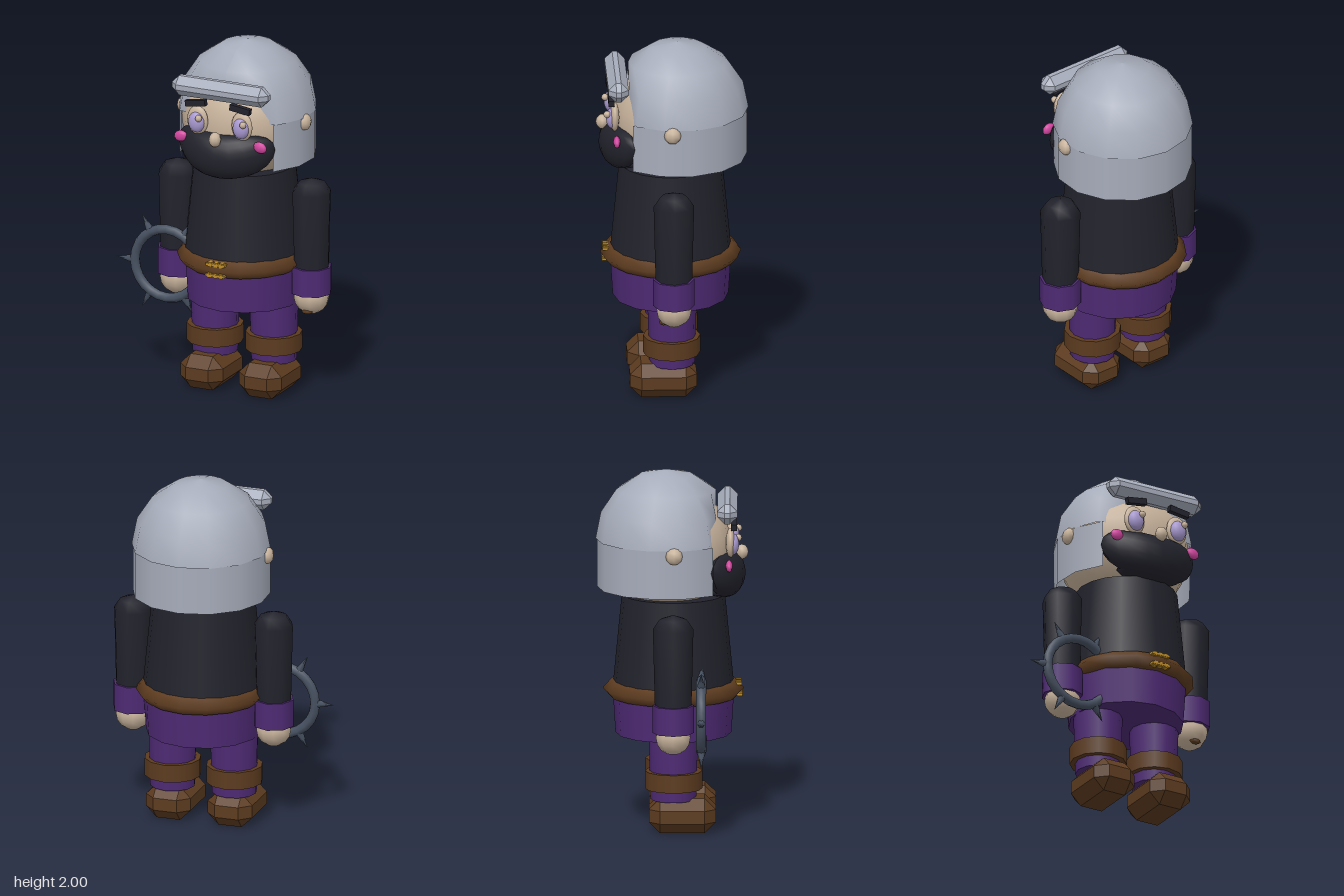
import * as THREE from 'three';
import { ConvexGeometry } from 'three/addons/geometries/ConvexGeometry.js';

const mat = (name, color, opts = {}) => {
  const m = new THREE.MeshStandardMaterial({ color, ...opts });
  m.name = name;
  return m;
};

export function createModel() {
  const steel = mat('steel', 0xa6acba, { side: THREE.DoubleSide });
  const black = mat('black', 0x22222c);
  const purple = mat('purple', 0x4e2a74);
  const brown = mat('brown', 0x5c3b1f);
  const skin = mat('skin', 0xc8b39c);
  const lavender = mat('lavender', 0xa99ad2);
  const pink = mat('pink', 0xd2459f);
  const gold = mat('gold', 0xbd8c26);
  const iron = mat('iron', 0x465060);

  const root = new THREE.Group();
  root.name = 'helmetedFigure';
  const CX = 0.09; // the body stands off centre because of the ring

  const add = (name, geometry, material, x = CX, y = 0, z = 0) => {
    const mesh = new THREE.Mesh(geometry, material);
    mesh.name = name;
    mesh.position.set(x, y, z);
    root.add(mesh);
    return mesh;
  };
  const tube = (rTop, rBottom, h, sides) => new THREE.CylinderGeometry(rTop, rBottom, h, sides);
  const ball = (rx, ry, rz, w = 12, h = 8) => new THREE.SphereGeometry(1, w, h).scale(rx, ry, rz);
  const lathe = (points, sides) =>
    new THREE.LatheGeometry(points.map(([r, y]) => new THREE.Vector2(r, y)), sides);

  // Box with every edge and corner cut by c, flat faced
  const chamferBox = (hx, hy, hz, c) => {
    const pts = [];
    for (const a of [-1, 1]) for (const b of [-1, 1]) for (const d of [-1, 1]) {
      pts.push(new THREE.Vector3(a * hx, b * (hy - c), d * (hz - c)));
      pts.push(new THREE.Vector3(a * (hx - c), b * hy, d * (hz - c)));
      pts.push(new THREE.Vector3(a * (hx - c), b * (hy - c), d * hz));
    }
    return new ConvexGeometry(pts);
  };

  // Torso, belt and hips
  add('torso', tube(0.285, 0.335, 0.52, 20), black, CX, 1.04, 0.01);
  add('hips', tube(0.335, 0.32, 0.24, 14), purple, CX, 0.64, 0.01);
  add('belt', lathe([[0.3, 0.715], [0.35, 0.725], [0.39, 0.77], [0.35, 0.815], [0.3, 0.825]], 16)
    .scale(0.955, 1, 1), brown, CX, 0, 0.01);
  for (const [y, z] of [[0.803, 0.37], [0.742, 0.375]]) {
    add('buckleBar', new THREE.BoxGeometry(0.115, 0.014, 0.035), gold, CX, y, z);
    for (const dx of [-0.035, 0, 0.035])
      add('buckleTooth', new THREE.BoxGeometry(0.022, 0.026, 0.03), gold, CX + dx, y, z);
  }

  // Legs, cuffs and shoes
  for (const x of [-0.09, 0.27]) {
    add('leg', tube(0.137, 0.126, 0.4, 12), purple, x, 0.38, 0.01);
    add('bootCuff', tube(0.158, 0.158, 0.1, 12), brown, x, 0.29, 0.012);
    add('shoe', chamferBox(0.13, 0.0975, 0.185, 0.062), brown, x, 0.0975, 0.06);
  }

  // Arms with sleeve cuffs and hands
  for (const s of [-1, 1]) {
    const x = CX + s * 0.41;
    add('arm', lathe([[0.1, 0.7], [0.112, 1.18], [0.075, 1.235], [0, 1.26]], 8), black, x, 0, 0.01);
    add('sleeveCuff', tube(0.115, 0.115, 0.155, 8), purple, x, 0.675, 0.01);
    add('hand', ball(0.1, 0.1, 0.1, 10, 8), skin, x, 0.575, 0.01);
  }
  add('palmStud', ball(0.035, 0.014, 0.025, 6, 4), brown, 0.5, 0.5, 0.068);

  // Spiked ring held in the right hand
  add('ring', new THREE.TorusGeometry(0.198, 0.028, 8, 24), iron, -0.31, 0.69, 0.165);
  for (let i = 0; i < 6; i++) {
    const a = i * Math.PI / 3;
    const spike = add('ringSpike', new THREE.ConeGeometry(0.024, 0.1, 6), iron,
      -0.31 + 0.26 * Math.cos(a), 0.69 + 0.26 * Math.sin(a), 0.165);
    spike.rotation.z = a - Math.PI / 2;
  }

  // Head and ears
  add('head', ball(0.365, 0.35, 0.35, 24, 16), skin, CX, 1.57, -0.02);
  for (const s of [-1, 1]) add('ear', ball(0.035, 0.047, 0.047, 8, 6), skin, CX + s * 0.372, 1.58, 0.015);

  // Helmet dome, flattened at the front so the face comes through
  const dome = new THREE.SphereGeometry(1, 14, 4, 0, Math.PI * 2, 0, Math.PI / 2)
    .rotateY(Math.PI / 2).scale(0.385, 0.39, 0.39);
  const p = dome.attributes.position;
  for (let i = 0; i < p.count; i++) p.setZ(i, Math.min(p.getZ(i), 0.275));
  dome.computeVertexNormals();
  add('helmetDome', dome, steel, CX, 1.61, -0.03);

  // Neck guard, open at the face
  const gap = THREE.MathUtils.degToRad(47);
  add('helmetGuard', new THREE.CylinderGeometry(0.382, 0.382, 0.27, 10, 1, true, gap, Math.PI * 2 - 2 * gap),
    steel, CX, 1.475, -0.03);
  add('visor', chamferBox(0.295, 0.057, 0.056, 0.042), steel, CX, 1.795, 0.308);

  // Beard: an ellipsoid whose ends curl up and back around the face
  const beard = ball(1, 1, 1, 20, 12);
  const b = beard.attributes.position;
  for (let i = 0; i < b.count; i++) {
    const x = b.getX(i), y = b.getY(i), z = b.getZ(i), k = x * x;
    b.setXYZ(i, x * 0.292, y * 0.13 * (1 + 0.3 * k) + 0.05 * k, z * 0.1 - 0.08 * k);
  }
  beard.computeVertexNormals();
  add('beard', beard, black, CX, 1.42, 0.308);
  add('chinStrap', ball(0.2, 0.05, 0.12, 14, 6), black, CX, 1.345, 0.26);

  // Face
  add('nose', ball(0.036, 0.042, 0.036, 8, 6), skin, CX, 1.535, 0.388);
  for (const s of [-1, 1]) {
    const x = CX + s * 0.136;
    add('eyelid', ball(0.064, 0.083, 0.026, 14, 10), skin, x, 1.612, 0.325);
    add('eye', ball(0.049, 0.06, 0.035, 14, 10), lavender, x, 1.604, 0.338);
    add('pupil', ball(0.02, 0.02, 0.02, 8, 6), skin, x + 0.026, 1.636, 0.368);
    const brow = add('eyebrow', new THREE.BoxGeometry(0.122, 0.035, 0.032), black, x, 1.717, 0.345);
    brow.rotation.z = -s * 0.14;
    const cheek = add('cheek', ball(0.042, 0.032, 0.02, 8, 6), pink, CX + s * 0.243, 1.502, 0.318);
    cheek.rotation.z = -s * 0.25;
  }
  return root;
}
